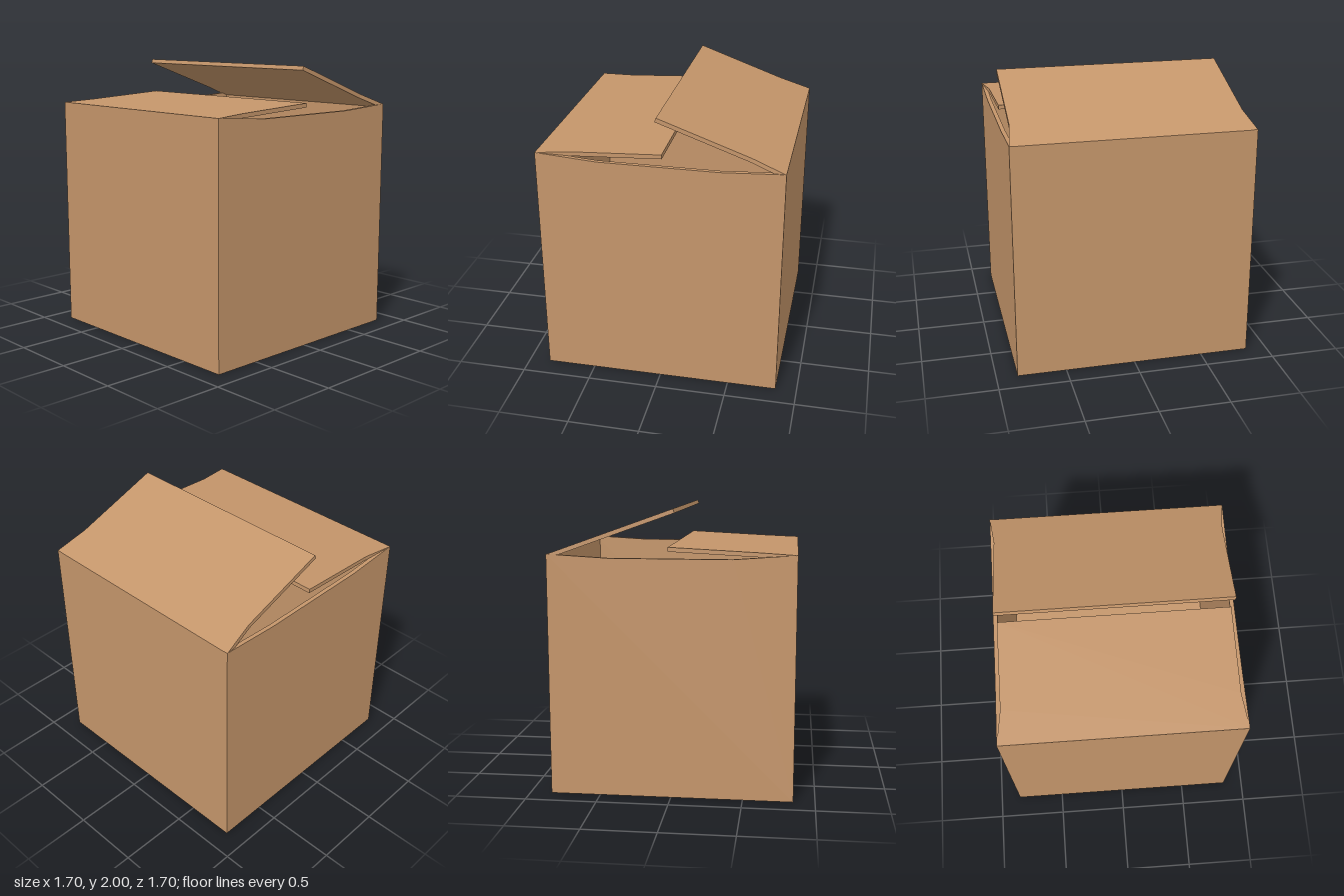
import * as THREE from 'three';

const HALF = 0.85;   // half width of the box
const T = 0.03;      // card thickness

export function createModel() {
  const model = new THREE.Group();
  model.name = 'cardboardBox';
  const card = new THREE.MeshStandardMaterial({ color: 0xc4956a });

  const add = (name, geometry, x = 0, y = 0, z = 0) => {
    const mesh = new THREE.Mesh(geometry, card);
    mesh.name = name;
    mesh.position.set(x, y, z);
    model.add(mesh);
    return mesh;
  };
  const extrude = (points, depth) => new THREE.ExtrudeGeometry(
    new THREE.Shape(points.map(([x, y]) => new THREE.Vector2(x, y))),
    { depth, bevelEnabled: false });

  // Floor between the four walls
  const inner = 2 * (HALF - T);
  add('floor', new THREE.BoxGeometry(inner, T, inner), 0, T / 2, 0);

  // Front and back walls, up to the flap folds
  for (const [name, side, height] of [['frontWall', 1, 1.698], ['backWall', -1, 1.69]]) {
    add(name, new THREE.BoxGeometry(inner, height, T), 0, height / 2, side * (HALF - T / 2));
  }

  // Side walls, whose top edge dips between the corners
  const profile = [[-HALF, 0], [HALF, 0], [HALF, 1.692], [0.42, 1.668], [-0.42, 1.668], [-HALF, 1.7]];
  for (const [name, x] of [['leftWall', HALF - T], ['rightWall', -HALF]]) {
    // the profile's first axis runs towards the back
    add(name, extrude(profile, T).rotateY(Math.PI / 2), x);
  }

  // Flaps narrow just past the fold and rise towards the middle
  const makeFlap = (name, side, foldY, length, angle) => {
    const w = 0.817, kink = 0.245;
    const outline = [[-HALF, 0], [HALF, 0], [w, kink], [w, length], [-w, length], [-w, kink]];
    const geometry = extrude(outline, T)
      .translate(0, 0, -T)
      .rotateX(-Math.PI / 2 + angle);
    if (side < 0) geometry.rotateY(Math.PI);
    add(name, geometry, 0, foldY, side * HALF);
  };
  makeFlap('frontFlap', 1, 1.7, 0.871, 0.05);
  makeFlap('backFlap', -1, 1.69, 0.919, 0.344);

  return model;
}
